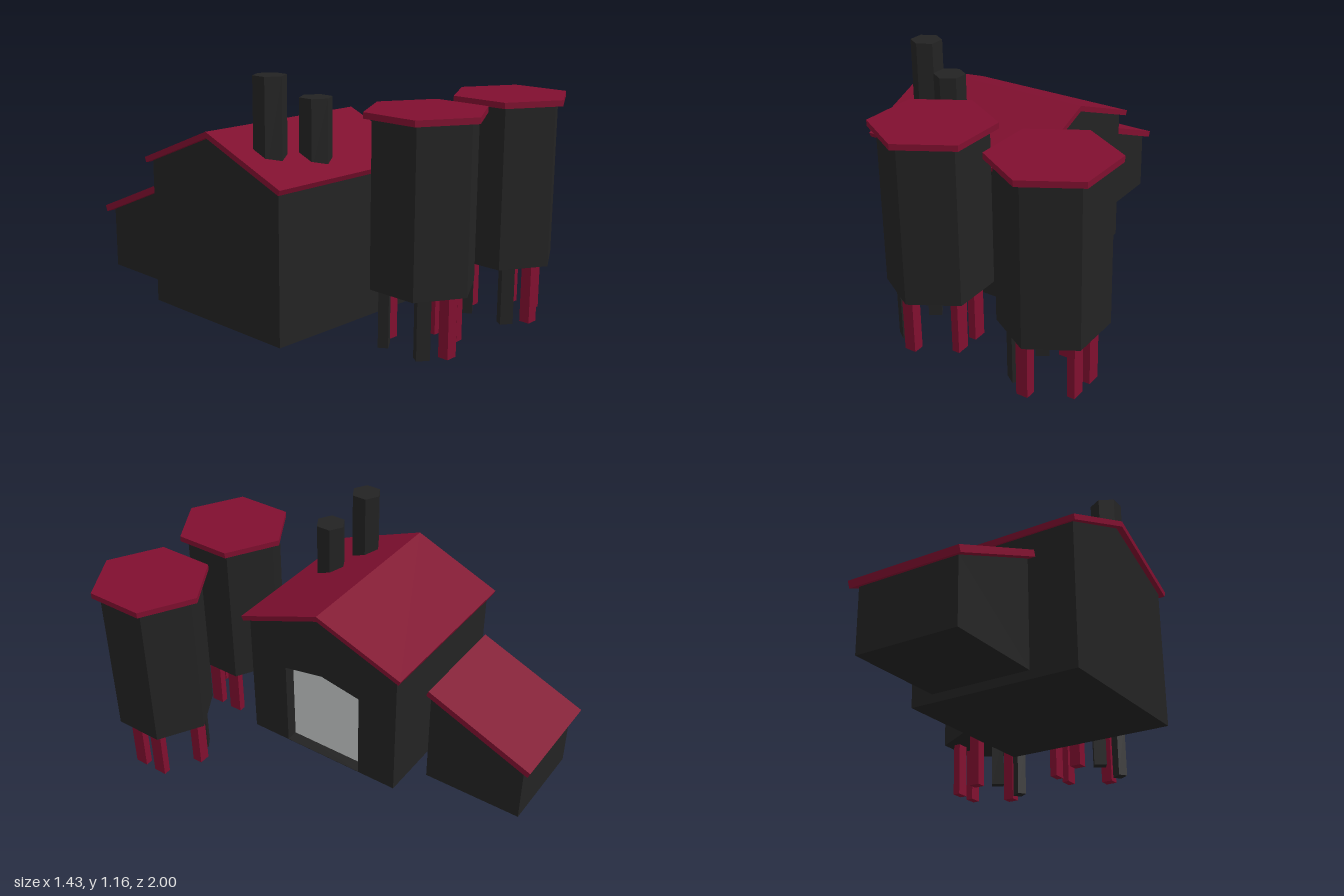
import * as THREE from 'three';

const mat = (name, color) => Object.assign(new THREE.MeshStandardMaterial({ color }), { name });

export function createModel() {
  const root = new THREE.Group();
  const dark = mat('charcoal wall', 0x232323);
  const red = mat('crimson roof', 0x800f2f);
  const pale = mat('pale door', 0xc8cccc);

  const add = (name, geo, material, parent = root) => {
    const m = new THREE.Mesh(geo, material);
    m.name = name;
    parent.add(m);
    return m;
  };
  // Side profiles are lists of [z, y], extruded along x from x0 to x1
  const toVec = pts => pts.map(([z, y]) => new THREE.Vector2(-z, y));
  const sideExtrude = (pts, x0, x1, hole) => {
    const shape = new THREE.Shape(toVec(pts));
    if (hole) shape.holes.push(new THREE.Path(toVec(hole)));
    const g = new THREE.ExtrudeGeometry(shape, { depth: x1 - x0, bevelEnabled: false });
    return g.rotateY(Math.PI / 2).translate(x0, 0, 0);
  };
  // Six-sided column with corners pointing along z
  const hexColumn = (r, y0, y1) =>
    new THREE.CylinderGeometry(r, r, y1 - y0, 6).toNonIndexed().translate(0, (y0 + y1) / 2, 0);
  const flat = g => { g.computeVertexNormals(); return g; };

  // Main hall with a recessed gabled doorway on its left end
  const hall = [[0.443, 0.065], [-0.383, 0.065], [-0.383, 0.73], [0.03, 0.895], [0.443, 0.73]];
  const door = [[0.24, 0.067], [-0.18, 0.067], [-0.18, 0.52], [0.03, 0.56], [0.24, 0.52]];
  add('hall', sideExtrude(hall, -0.685, 0.075), dark);
  add('doorWall', sideExtrude(hall, 0.075, 0.14, door), dark);
  add('door', sideExtrude(door, 0.075, 0.081), pale);

  // Gabled roof, slightly longer at the ridge than at the eaves
  const roof = sideExtrude([[0.03, 0.92], [0.475, 0.743], [0.465, 0.72], [0.03, 0.893],
    [-0.405, 0.72], [-0.415, 0.743]], -0.707, 0.165);
  const p = roof.attributes.position;
  for (let i = 0; i < p.count; i++) {
    const t = (p.getY(i) - 0.72) / 0.2;
    p.setX(i, p.getX(i) + (p.getX(i) > 0 ? 0.009 : -0.008) * t);
  }
  add('hallRoof', flat(roof), red);

  // Lean-to at the back
  add('shed', sideExtrude([[-0.465, 0.065], [-0.96, 0.065], [-0.96, 0.365], [-0.465, 0.57]], -0.51, -0.03), dark);
  add('shedRoof', sideExtrude([[-0.452, 0.572], [-0.463, 0.6], [-1.0, 0.377], [-0.989, 0.348]], -0.54, -0.005), red);

  // Chimneys through the front roof slope
  for (const [x, z, top] of [[-0.535, 0.235, 1.162], [-0.345, 0.313, 1.058]]) {
    add('chimney', flat(hexColumn(0.073, 0.74, top)), dark).position.set(x, 0, z);
  }

  // Silos on legs: [x, z, width, depth, turn, material]
  const legs = [
    [0.143, 0.06, 0.036, 0.065, 0, red], [0.143, -0.06, 0.036, 0.065, 0, red],
    [-0.032, 0.165, 0.055, 0.05, 0, red], [-0.032, -0.16, 0.055, 0.05, 0, red],
    [-0.125, 0.105, 0.06, 0.045, 0.6, dark], [-0.125, -0.105, 0.06, 0.045, -0.6, dark],
  ];
  for (const x of [-0.115, 0.475]) {
    const silo = new THREE.Group();
    silo.name = 'silo';
    silo.position.set(x, 0, 0.725);
    add('siloBody', flat(hexColumn(0.236, 0.27, 1.0)), dark, silo);
    add('siloCap', flat(hexColumn(0.273, 1.0, 1.027)), red, silo);
    for (const [lx, lz, w, d, turn, m] of legs) {
      const leg = add('siloLeg', new THREE.BoxGeometry(w, 0.275, d), m, silo);
      leg.position.set(lx, 0.1375, lz);
      leg.rotation.y = -turn;
    }
    root.add(silo);
  }
  return root;
}
